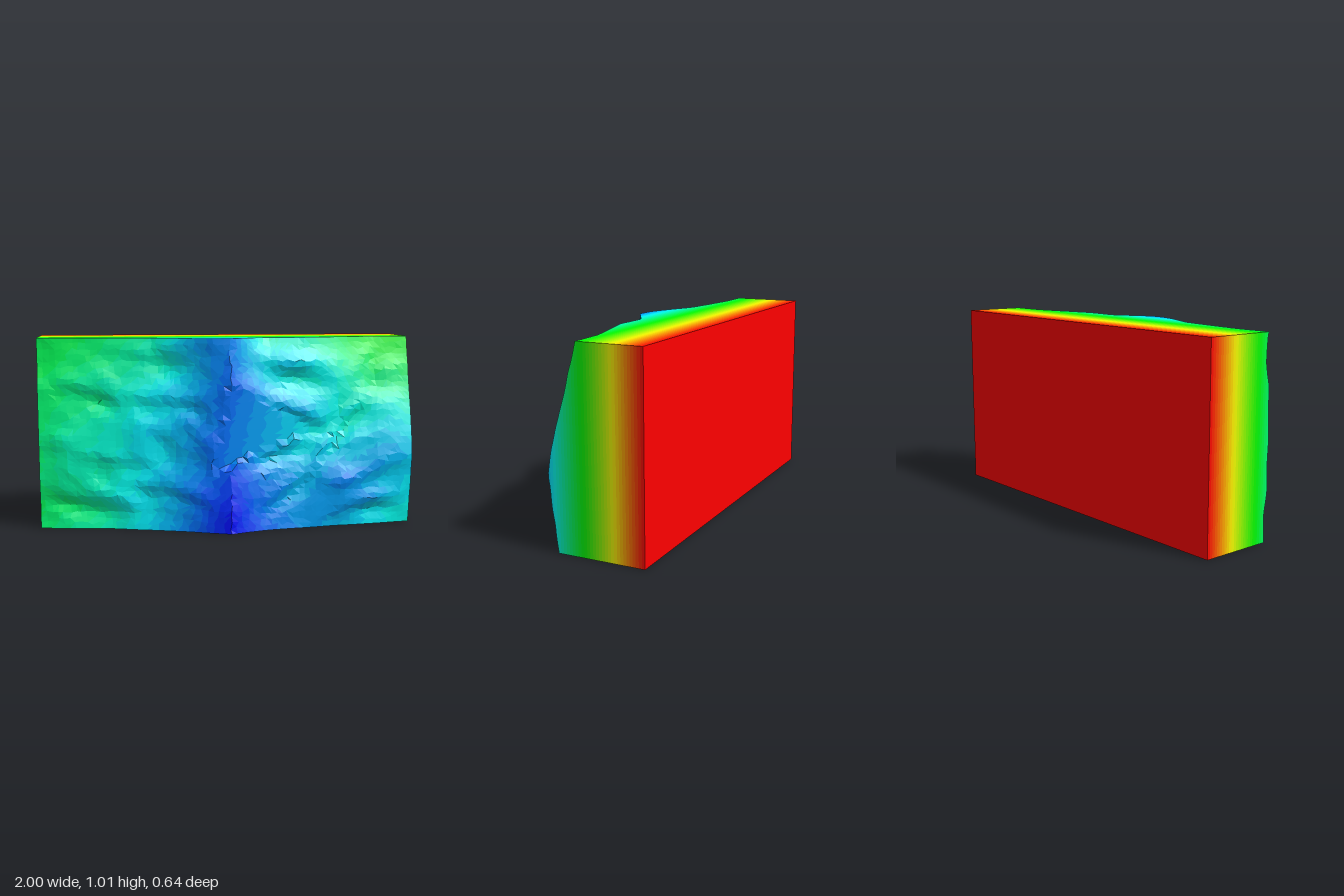
import * as THREE from 'three';

const H = 1.015, BACK = -0.318, FRONT = 0.318, BANDS = 40;
const NX = 64, NY = 34;

// Coarse relief: surface depth in hundredths at columns XS and rows YS
const XS = [-1, -0.8, -0.6, -0.4, -0.2, -0.1, 0, 0.1, 0.2, 0.4, 0.6, 0.8, 1];
const YS = [0, 0.13, 0.25, 0.38, 0.5, 0.63, 0.75, 0.88, H];
const RELIEF = [
  [7, 10, 13, 18.5, 24.5, 28, 31.8, 28, 25, 22, 19, 17, 14],
  [6, 9, 13, 18, 24, 27, 30.3, 26.5, 23, 21, 22, 18.5, 15.5],
  [8, 10, 14, 18, 22.5, 25, 28, 25, 22, 19.5, 22.5, 19.5, 17.5],
  [7.5, 11, 14, 17.5, 21, 24.5, 26.3, 23, 20.5, 18, 19, 20, 18.5],
  [8, 11, 14, 17, 21, 24, 24.5, 22.5, 20.3, 17, 14.5, 18, 16.5],
  [7.5, 9, 13, 16.5, 20, 23.5, 24.5, 23, 20.5, 18, 13, 15, 13],
  [7, 8, 11, 14.5, 19, 23, 26.4, 22, 18, 16, 13, 9, 9.5],
  [5, 7, 10, 13, 19, 22.5, 24.7, 20, 16.5, 15.5, 12, 6, 6],
  [6, 6, 8, 11, 20, 23, 23.5, 17.5, 12, 12.5, 8, 3, 2.5],
];

// Spurs with a steep underside: x0, y0, x1, y1, half height
const SPURS = [
  [0, 0.74, 0.55, 0.53, 0.016],
  [0.02, 0.38, 0.5, 0.46, 0.012],
  [0.15, 0.1, 0.5, 0.33, 0.014],
  [0.45, 0.33, 0.8, 0.76, 0.012],
  [0.1, 0.9, 0.6, 0.78, 0.01],
  [0.6, 0.12, 1, 0.1, 0.01],
  [-0.95, 0.78, -0.5, 0.67, 0.014],
  [-0.55, 0.7, -0.1, 0.66, 0.012],
  [-0.75, 0.95, -0.2, 0.88, 0.01],
  [-0.95, 0.18, -0.45, 0.1, 0.011],
  [-0.5, 0.24, -0.1, 0.16, 0.01],
];

const hash = (i, j) => {
  const s = Math.sin(i * 127.1 + j * 311.7) * 43758.5453;
  return s - Math.floor(s);
};
const lerp = THREE.MathUtils.lerp;
const ease = (t) => t * t * (3 - 2 * t);

function noise(u, v) {
  const i = Math.floor(u), j = Math.floor(v), a = ease(u - i), b = ease(v - j);
  return lerp(lerp(hash(i, j), hash(i + 1, j), a), lerp(hash(i, j + 1), hash(i + 1, j + 1), a), b);
}

function locate(list, value) {
  let i = 0;
  while (i < list.length - 2 && value > list[i + 1]) i++;
  return [i, (value - list[i]) / (list[i + 1] - list[i])];
}

function spurHeight(x, y) {
  let sum = 0;
  for (const [x0, y0, x1, y1, height] of SPURS) {
    const t = (x - x0) / (x1 - x0);
    if (t <= 0 || t >= 1) continue;
    const s = (y - lerp(y0, y1, t)) / 0.045;
    sum += height * s * Math.exp(0.5 - 0.5 * s * s) * Math.sqrt(Math.sin(t * Math.PI));
  }
  return sum;
}

// Surface depth: coarse relief, spurs and rough rock around one smooth triangular face
function depthAt(x, y) {
  const left = -0.11 + 0.23 * (y - 0.31);
  if (x > left && y < 0.77 - 0.505 * x && y > 0.352 + 0.38 * x) return 0.25 - 0.18 * (x - left);
  const [i, a] = locate(XS, x), [j, b] = locate(YS, y);
  const base = lerp(lerp(RELIEF[j][i], RELIEF[j][i + 1], a), lerp(RELIEF[j + 1][i], RELIEF[j + 1][i + 1], a), b) / 100;
  const slant = x > 0 ? y - 0.3 * x : y + 0.2 * x;
  const ridges = 1 - Math.abs(2 * noise(x * 3 + 9, slant * 6 + 5) - 1);
  const rough = (ridges - 0.55) * 0.018 + (noise(x * 9, slant * 13) - 0.5) * 0.018;
  const rim = Math.min(1, 0.3 + 8 * Math.min(y, H - y, 1 - Math.abs(x)));
  const detail = (rough + spurHeight(x, y)) * rim * Math.min(1, 0.15 + Math.abs(x) * 5);
  return Math.min(FRONT, base + detail);
}

// Rainbow from red at the back to blue at the front
function bandMaterial(k) {
  const hue = ((k + 0.5) / BANDS) * (240 / 360);
  return new THREE.MeshStandardMaterial({
    color: new THREE.Color().setHSL(hue, 1, 0.49, THREE.SRGBColorSpace),
    flatShading: true,
  });
}

function bandMeshes(name, bands, materials) {
  const group = new THREE.Group();
  group.name = name;
  bands.forEach((points, k) => {
    if (!points.length) return;
    const geometry = new THREE.BufferGeometry().setFromPoints(points);
    geometry.computeVertexNormals();
    const mesh = new THREE.Mesh(geometry, materials[k]);
    mesh.name = name + 'Band' + k;
    group.add(mesh);
  });
  return group;
}

export function createModel() {
  const model = new THREE.Group();
  model.name = 'reliefSlab';
  const materials = Array.from({ length: BANDS }, (_, k) => bandMaterial(k));
  const emptyBands = () => Array.from({ length: BANDS }, () => []);

  // Jittered grid of surface points; the border stays straight
  const grid = [];
  for (let j = 0; j <= NY; j++) {
    grid.push([]);
    for (let i = 0; i <= NX; i++) {
      const inside = i > 0 && i < NX && j > 0 && j < NY ? 0.6 : 0;
      const x = -1 + (2 * (i + inside * (hash(i, j + 50) - 0.5))) / NX;
      const y = (H * (j + inside * (hash(i + 80, j) - 0.5))) / NY;
      grid[j].push(new THREE.Vector3(x, y, depthAt(x, y)));
    }
  }

  // Rocky front, its facets sorted into colour bands by depth
  const terrain = emptyBands();
  const addFacet = (a, b, c) => {
    const t = ((a.z + b.z + c.z) / 3 - BACK) / (FRONT - BACK);
    terrain[THREE.MathUtils.clamp(Math.floor(t * BANDS), 0, BANDS - 1)].push(a, b, c);
  };
  for (let j = 0; j < NY; j++) {
    for (let i = 0; i < NX; i++) {
      const a = grid[j][i], b = grid[j][i + 1], c = grid[j + 1][i + 1], d = grid[j + 1][i];
      if (Math.abs(a.z - c.z) < Math.abs(b.z - d.z)) {
        addFacet(a, b, c);
        addFacet(a, c, d);
      } else {
        addFacet(a, b, d);
        addFacet(b, c, d);
      }
    }
  }
  model.add(bandMeshes('terrain', terrain, materials));

  // Side walls: the border loop drawn back in bands, cut off at the terrain
  const loop = [];
  for (let i = 0; i < NX; i++) loop.push(grid[0][i]);
  for (let j = 0; j < NY; j++) loop.push(grid[j][NX]);
  for (let i = NX; i > 0; i--) loop.push(grid[NY][i]);
  for (let j = NY; j > 0; j--) loop.push(grid[j][0]);
  const walls = emptyBands();
  const cut = (p, z) => new THREE.Vector3(p.x, p.y, Math.min(z, p.z));
  for (let k = 0; k < BANDS; k++) {
    const z0 = lerp(BACK, FRONT, k / BANDS), z1 = lerp(BACK, FRONT, (k + 1) / BANDS);
    loop.forEach((p, n) => {
      const q = loop[(n + 1) % loop.length];
      const a = cut(p, z0), b = cut(q, z0), c = cut(q, z1), d = cut(p, z1);
      if (c.z > b.z) walls[k].push(a, b, c);
      if (d.z > a.z) walls[k].push(a, c, d);
    });
  }
  model.add(bandMeshes('wall', walls, materials));

  // Flat back
  const back = new THREE.Mesh(
    new THREE.PlaneGeometry(2, H),
    new THREE.MeshStandardMaterial({ color: 0xff0000 })
  );
  back.name = 'backPanel';
  back.rotation.y = Math.PI;
  back.position.set(0, H / 2, BACK);
  model.add(back);

  return model;
}
